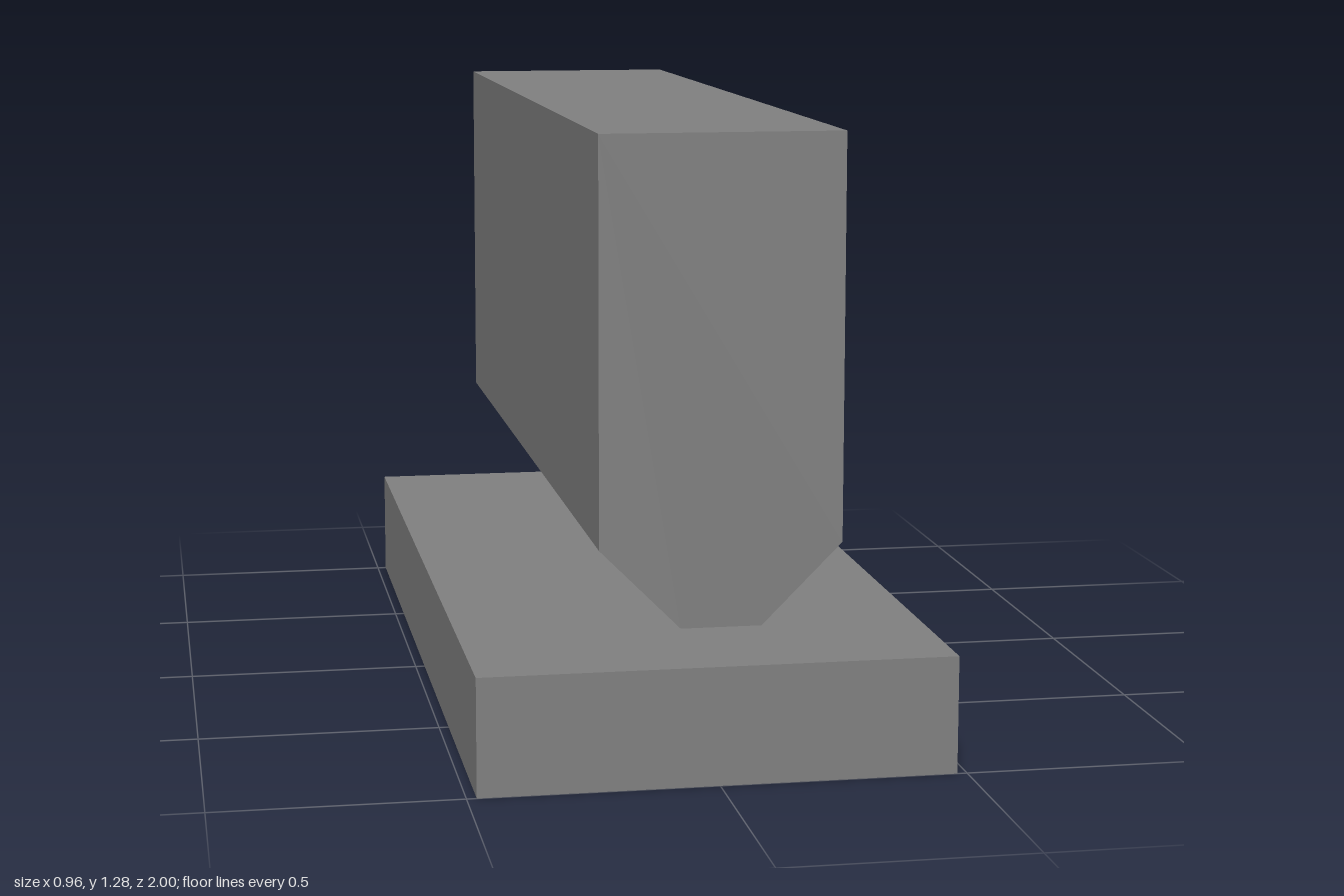
import * as THREE from 'three';

const LENGTH = 2;

export function createModel() {
  const model = new THREE.Group();
  model.name = 'pressTool';

  const steel = new THREE.MeshStandardMaterial({ color: 0x808080 });
  steel.name = 'steelGrey';

  // Flat base plate
  const base = new THREE.Mesh(new THREE.BoxGeometry(0.96, 0.24, LENGTH), steel);
  base.name = 'basePlate';
  base.position.y = 0.12;
  model.add(base);

  // Upper bar with a tapered lower edge, floating just above the plate
  const profile = new THREE.Shape([
    [-0.08, 0.32], [0.08, 0.32], [0.24, 0.48],
    [0.24, 1.28], [-0.24, 1.28], [-0.24, 0.48],
  ].map(([x, y]) => new THREE.Vector2(x, y)));
  const barGeometry = new THREE.ExtrudeGeometry(profile, { depth: LENGTH, bevelEnabled: false });
  barGeometry.translate(0, 0, -LENGTH / 2);
  const bar = new THREE.Mesh(barGeometry, steel);
  bar.name = 'taperedBar';
  model.add(bar);

  return model;
}
